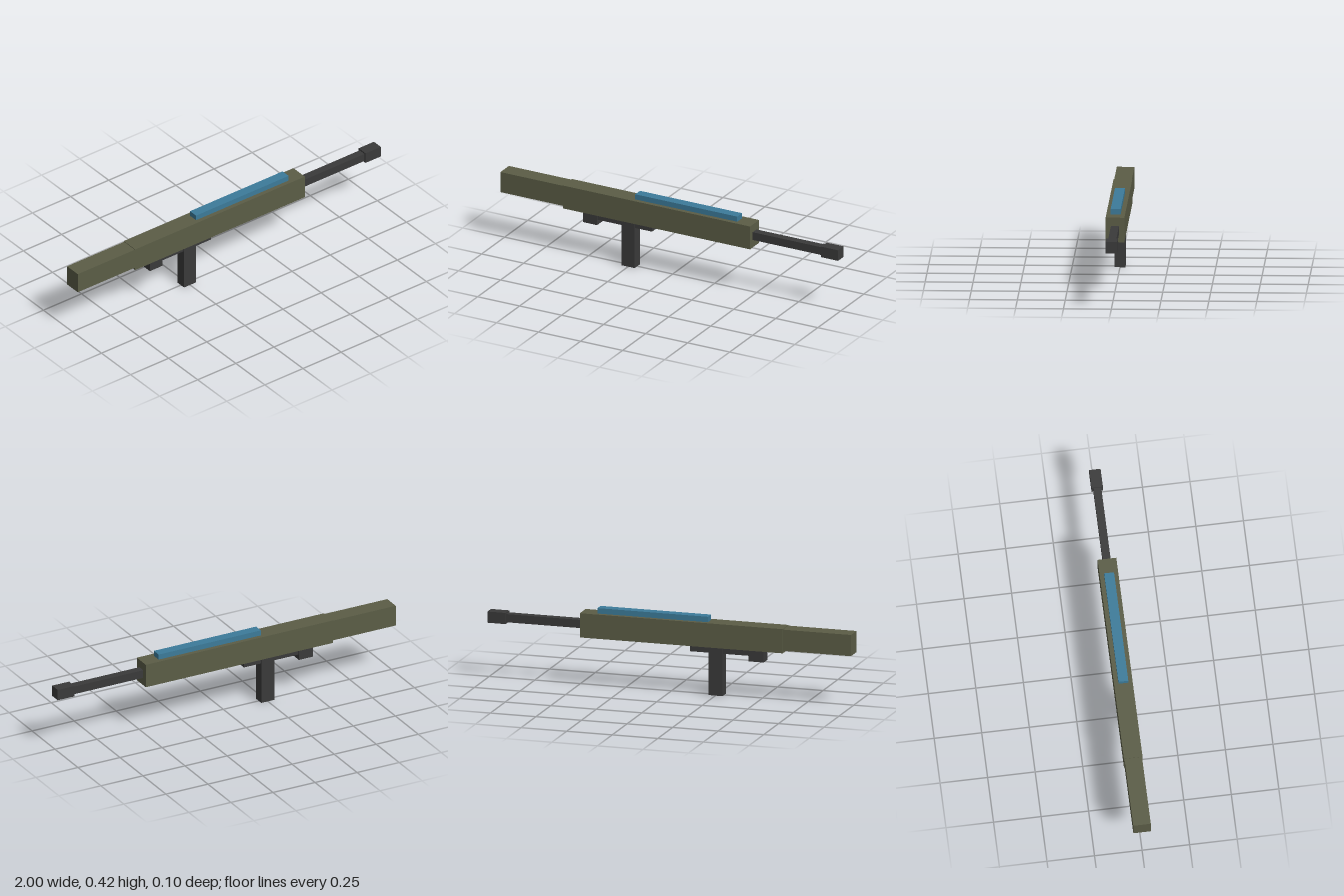
import * as THREE from 'three';

export function createModel() {
  const model = new THREE.Group();
  const material = (name, color) => {
    const m = new THREE.MeshStandardMaterial({ color });
    m.name = name;
    return m;
  };
  const olive = material('olive', 0x5b5d46);
  const charcoal = material('charcoal', 0x3a3a3a);
  const blue = material('blue', 0x3c7b9a);

  // Box from x and y extents, centred on z with the given half depth
  const addBox = (name, mat, x0, x1, y0, y1, halfDepth) => {
    const mesh = new THREE.Mesh(new THREE.BoxGeometry(x1 - x0, y1 - y0, halfDepth * 2), mat);
    mesh.position.set((x0 + x1) / 2, (y0 + y1) / 2, 0);
    mesh.name = name;
    model.add(mesh);
  };

  // Main housing and the slightly slimmer rear stock
  addBox('body', olive, -0.626, 0.487, 0.261, 0.391, 0.049);
  addBox('stock', olive, -1, -0.62, 0.274, 0.388, 0.046);

  // Rail on top
  addBox('topRail', blue, -0.209, 0.398, 0.385, 0.42, 0.026);

  // Barrel with a thicker end
  addBox('barrel', charcoal, 0.48, 0.905, 0.304, 0.348, 0.021);
  addBox('muzzle', charcoal, 0.9, 1, 0.296, 0.356, 0.03);

  // Underside: mounting plate, rear block and long grip
  addBox('underPlate', charcoal, -0.48, -0.11, 0.227, 0.265, 0.024);
  addBox('rearBlock', charcoal, -0.516, -0.433, 0.199, 0.265, 0.031);
  addBox('grip', charcoal, -0.289, -0.211, 0, 0.265, 0.028);

  return model;
}
